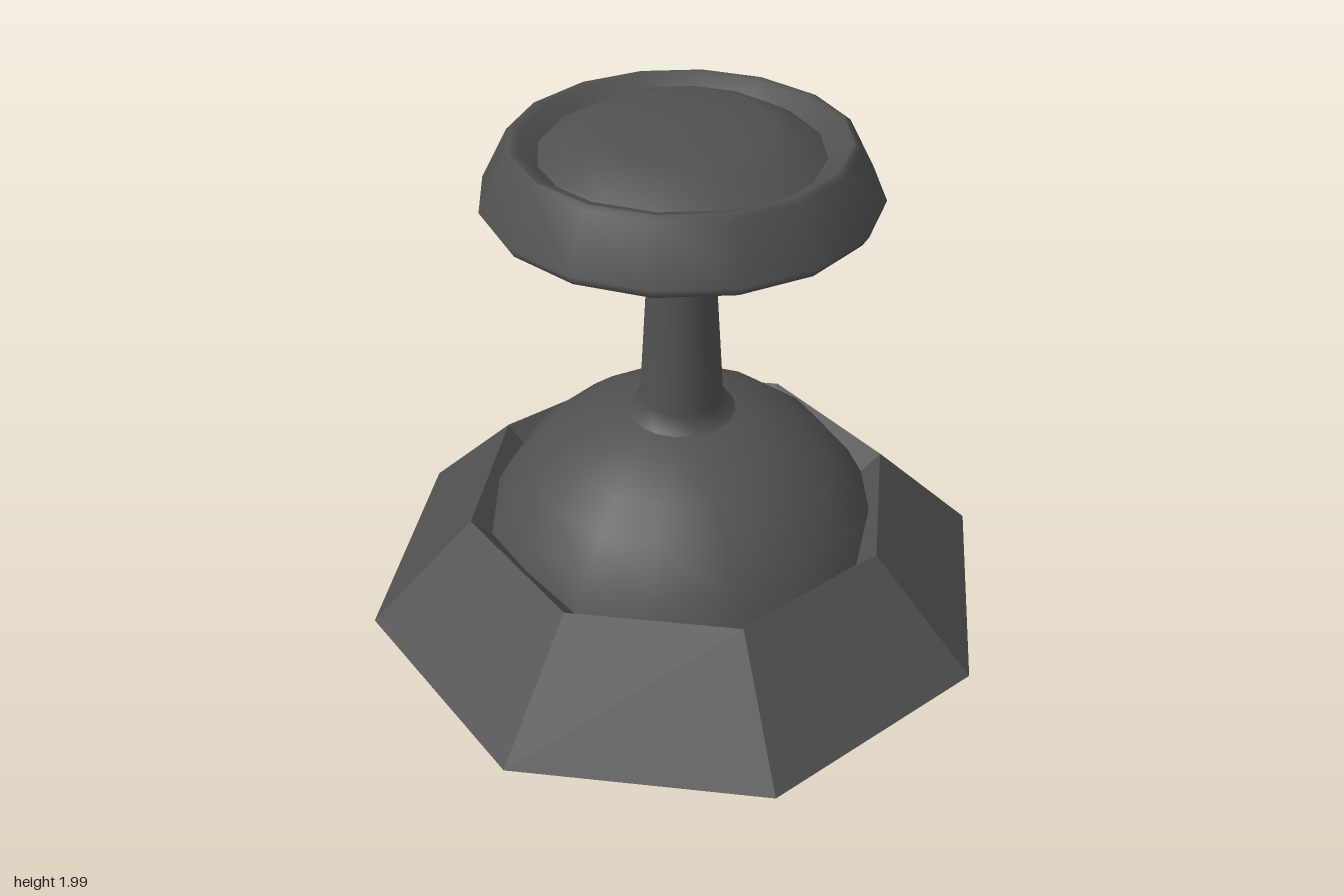
import * as THREE from 'three';

const SIDES = 16;

export function createModel() {
  const model = new THREE.Group();
  const darkGrey = new THREE.MeshStandardMaterial({ color: 0x505050 });
  darkGrey.name = 'darkGrey';

  const add = (name, geometry, parent = model) => {
    const mesh = new THREE.Mesh(geometry, darkGrey);
    mesh.name = name;
    parent.add(mesh);
    return mesh;
  };
  // Profile points are [radius, height], running from underside to top.
  const lathe = (points) =>
    new THREE.LatheGeometry(points.map(([r, y]) => new THREE.Vector2(r, y)), SIDES);

  // Round body
  add('body', new THREE.SphereGeometry(0.594, SIDES, SIDES)).position.y = 0.6;

  // Faceted eight-sided collar with a diamond cross-section
  const collar = new THREE.TorusGeometry(0.595, 0.297, 4, 8).toNonIndexed();
  collar.rotateX(Math.PI / 2);
  collar.computeVertexNormals();
  add('collar', collar).position.y = 0.6;

  // Tapered neck flaring into the body
  add('neck', lathe([[0.17, 1.155], [0.14, 1.178], [0.112, 1.22], [0.075, 1.8]]));

  // Cap: separate pieces keep the rim edges crisp
  const cap = new THREE.Group();
  cap.name = 'cap';
  model.add(cap);
  add('capUnderside', lathe([[0, 1.79], [0.48, 1.79]]), cap);
  add('capSkirt', lathe([[0.48, 1.79], [0.495, 1.815], [0.425, 1.945], [0.41, 1.953]]), cap);
  add('capBowl', lathe([[0.41, 1.953], [0.39, 1.95], [0.34, 1.91]]), cap);
  add('capDome', lathe([[0.36, 1.905], [0.34, 1.925], [0.27, 1.965], [0.22, 1.982], [0.12, 1.994], [0, 2]]), cap);

  return model;
}
